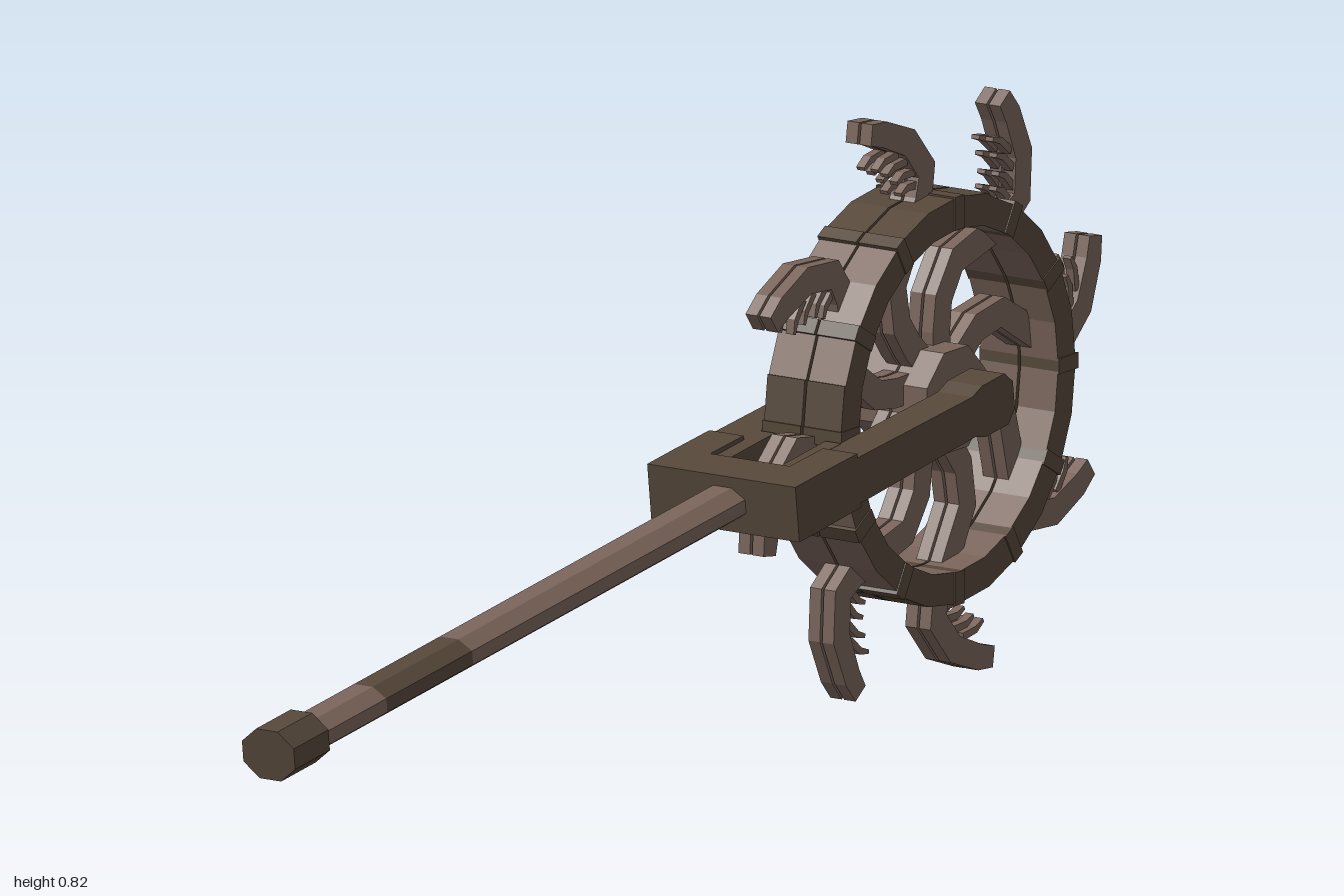
import * as THREE from 'three';

const olive = new THREE.MeshStandardMaterial({ color: 0x56483a, flatShading: true });
olive.name = 'dark olive wood';
const brown = new THREE.MeshStandardMaterial({ color: 0x79645a, flatShading: true });
brown.name = 'reddish brown wood';

const GAP = 0.002; // half of the slit that divides the wheel
const polar = (deg, r) => {
  const a = THREE.MathUtils.degToRad(deg);
  return new THREE.Vector2(Math.cos(a) * r, Math.sin(a) * r);
};

function mesh(name, geometry, material, parent) {
  const m = new THREE.Mesh(geometry, material);
  m.name = name;
  parent.add(m);
  return m;
}

// Regular polygon outline
function polygon(radius, sides, offset = 0) {
  return Array.from({ length: sides }, (_, i) => polar(offset + (i * 360) / sides, radius));
}

// Widen a centre line into a closed strip outline
function strip(points, widths) {
  const left = [], right = [];
  points.forEach((p, i) => {
    const a = points[Math.max(i - 1, 0)], b = points[Math.min(i + 1, points.length - 1)];
    const d = b.clone().sub(a).normalize();
    const n = new THREE.Vector2(-d.y, d.x).multiplyScalar(widths[i] / 2);
    left.push(p.clone().add(n));
    right.unshift(p.clone().sub(n));
  });
  return new THREE.Shape([...right, ...left]);
}

// Extrude a shape and place a copy on either side of the slit
function pair(name, shape, near, far, material, parent) {
  const g = new THREE.ExtrudeGeometry(shape, { depth: far - near, bevelEnabled: false });
  mesh(name + 'Left', g, material, parent).position.z = near;
  mesh(name + 'Right', g, material, parent).position.z = -far;
}

function createWheel() {
  const wheel = new THREE.Group();
  wheel.name = 'wheel';

  // Rim in two halves: dark sides, reddish inner and outer walls
  const rim = new THREE.Shape(polygon(0.284, 24));
  rim.holes.push(new THREE.Path(polygon(0.242, 24).reverse()));
  pair('rim', rim, GAP, 0.064, [olive, brown], wheel);

  // Dark plates on the outer wall at the top, front and bottom
  for (const [start, steps] of [[75, 3], [165, 1], [240, 4]]) {
    const angles = Array.from({ length: steps + 1 }, (_, i) => start + i * 15);
    const plate = strip(angles.map((a) => polar(a, 0.284)), angles.map(() => 0.006));
    pair('rimPlate', plate, GAP, 0.064, olive, wheel);
  }

  // Pads over the rim joints
  const pad = new THREE.BoxGeometry(0.047, 0.022, 0.064);
  for (let i = 0; i < 12; i++) {
    const p = polar(i * 30, 0.2645);
    for (const s of [1, -1]) {
      const m = mesh('rimJoint', pad, olive, wheel);
      m.position.set(p.x, p.y, s * (GAP + 0.032));
      m.rotation.z = (i * Math.PI) / 6;
    }
  }

  // Hub
  pair('hub', new THREE.Shape(polygon(0.077, 8, 22.5)), GAP, 0.06, brown, wheel);

  // Curved spokes that run through the rim and end in hooked claws
  const arm = strip(
    [polar(-4, 0.05), polar(9, 0.09), polar(11, 0.135), polar(4, 0.19), polar(-10, 0.235),
      polar(-18, 0.28), polar(-20, 0.322), polar(-14, 0.372), polar(-6, 0.408), polar(-2, 0.423)],
    [0.042, 0.042, 0.042, 0.042, 0.042, 0.042, 0.042, 0.04, 0.036, 0.03]);
  const teeth = [[-17, 0.305], [-16, 0.325], [-13, 0.346], [-10, 0.364]].map(([a, r]) =>
    strip([polar(a, r), polar(a + 5, r + 0.004), polar(a + 8, r)], [0.011, 0.01, 0.006]));
  for (let i = 0; i < 8; i++) {
    const spoke = new THREE.Group();
    spoke.name = 'clawSpoke';
    spoke.rotation.z = THREE.MathUtils.degToRad(22.5 + i * 45);
    pair('claw', arm, GAP, 0.021, brown, spoke);
    teeth.forEach((t) => pair('tooth', t, GAP + 0.003, 0.018, brown, spoke));
    wheel.add(spoke);
  }
  wheel.rotation.y = Math.PI / 2;
  return wheel;
}

// Flattened octagonal bar along z
function bar(name, rx, ry, z0, z1, material, parent) {
  const c = Math.cos(Math.PI / 8);
  const g = new THREE.CylinderGeometry(1 / c, 1 / c, z1 - z0, 8, 1);
  g.rotateY(Math.PI / 8).rotateX(Math.PI / 2).scale(rx, ry, 1).translate(0, 0, (z0 + z1) / 2);
  return mesh(name, g, material, parent);
}

function createHandle() {
  const handle = new THREE.Group();
  handle.name = 'handle';
  // Shaft with a darker stretch, and its end cap
  bar('shaftUpper', 0.037, 0.024, 0.46, 1.15, brown, handle);
  bar('shaftMiddle', 0.037, 0.024, 1.15, 1.36, olive, handle);
  bar('shaftLower', 0.037, 0.024, 1.36, 1.52, brown, handle);
  bar('endCap', 0.043, 0.036, 1.51, 1.595, olive, handle);

  // Fork block
  const block = new THREE.BoxGeometry(0.246, 0.08, 0.07);
  mesh('forkBlock', block, olive, handle).position.z = 0.447;

  // Fork arms, stepping down from the block and ending in a chamfered boss
  const side = new THREE.Shape([
    [-0.43, -0.04], [-0.33, -0.039], [-0.33, -0.033], [-0.05, -0.029], [-0.025, -0.037],
    [0.03, -0.037], [0.048, -0.02], [0.048, 0.02], [0.03, 0.037], [-0.025, 0.037],
    [-0.05, 0.029], [-0.33, 0.033], [-0.33, 0.039], [-0.43, 0.04],
  ].map(([u, v]) => new THREE.Vector2(u, v)));
  const arms = new THREE.Group();
  arms.name = 'forkArms';
  arms.rotation.y = Math.PI / 2;
  pair('forkArm', side, 0.066, 0.123, olive, arms);
  handle.add(arms);

  // Cheeks that narrow the slot between block and wheel
  for (const s of [1, -1]) {
    const cheek = mesh('forkCheek', new THREE.BoxGeometry(0.026, 0.066, 0.14), olive, handle);
    cheek.position.set(s * 0.055, 0, 0.36);
  }
  handle.rotation.x = 0.124;
  return handle;
}

export function createModel() {
  const model = new THREE.Group();
  model.name = 'clawWheelStaff';
  const body = new THREE.Group();
  body.name = 'body';
  body.add(createWheel(), createHandle());
  body.position.set(0, 0.408, -0.587);
  model.add(body);
  return model;
}
